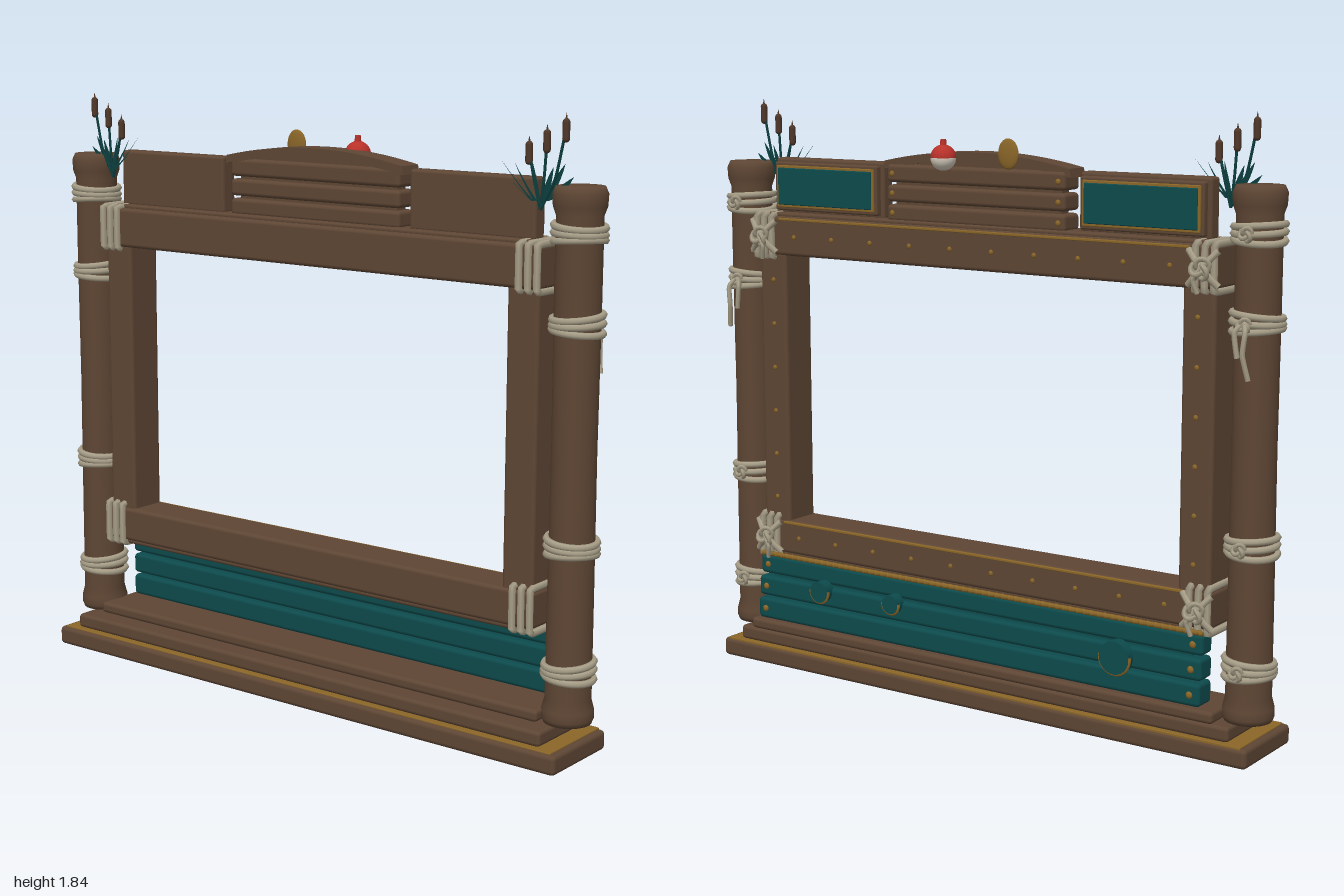
import * as THREE from 'three';
import { RoundedBoxGeometry } from 'three/addons/geometries/RoundedBoxGeometry.js';

const mat = (name, color, extra = {}) => {
  const m = new THREE.MeshStandardMaterial({ color, ...extra });
  m.name = name;
  return m;
};

export function createModel() {
  const wood = mat('wood', 0x5e4634);
  const teal = mat('tealPaint', 0x0d4a4c);
  const rope = mat('rope', 0xa89f88);
  const brass = mat('brass', 0x8a6628);
  const red = mat('red', 0xb8322a);
  const white = mat('cream', 0xd8d0c0);
  const cattail = mat('cattail', 0x50382a);
  const leaf = mat('leaf', 0x0c3f3e, { side: THREE.DoubleSide });
  const model = new THREE.Group();
  model.name = 'boardwalkFrame';

  const add = (name, geo, m, parent = model) => {
    const mesh = new THREE.Mesh(geo, m);
    mesh.name = name;
    parent.add(mesh);
    return mesh;
  };
  // Board given by its extents, with softly rounded edges
  const board = (name, x0, x1, y0, y1, z0, z1, m = wood, r = 0.01) => {
    const w = x1 - x0, h = y1 - y0, d = z1 - z0;
    const geo = new RoundedBoxGeometry(w, h, d, 2, Math.min(r, w / 2.2, h / 2.2, d / 2.2));
    const b = add(name, geo, m);
    b.position.set((x0 + x1) / 2, (y0 + y1) / 2, (z0 + z1) / 2);
    return b;
  };
  const tube = (name, pts, r, m, closed = false, parent = model) =>
    add(name, new THREE.TubeGeometry(new THREE.CatmullRomCurve3(
      pts.map(p => new THREE.Vector3(...p)), closed, 'catmullrom', 0.3), closed ? 40 : 20, r, 6, closed), m, parent);
  const rivet = (x, y, z, r = 0.008) => {
    const s = add('rivet', new THREE.SphereGeometry(r, 8, 6), brass);
    s.position.set(x, y, z);
    s.scale.z = 0.6;
  };

  // Stepped base with brass inlay
  board('baseLower', -0.975, 0.975, 0, 0.06, -0.135, 0.15, wood, 0.014);
  board('baseInlay', -0.955, 0.955, 0.05, 0.064, -0.13, 0.138, brass, 0.003);
  board('baseMiddle', -0.91, 0.91, 0.064, 0.11, -0.12, 0.125, wood, 0.012);
  board('baseUpper', -0.86, 0.86, 0.11, 0.146, -0.125, 0.065, wood, 0.012);

  // Picture frame beams
  board('topBeam', -0.83, 0.83, 1.35, 1.475, -0.09, 0.05, wood, 0.012);
  board('bottomBeam', -0.83, 0.83, 0.375, 0.485, -0.09, 0.05, wood, 0.012);
  board('bottomBeamLip', -0.81, 0.81, 0.362, 0.38, -0.08, 0.04);
  board('topBeamLip', -0.8, 0.8, 1.47, 1.486, -0.08, 0.03);

  // Brass trim and rivets along the back of the frame
  board('trimTop', -0.74, 0.74, 1.462, 1.47, -0.094, -0.08, brass, 0.002);
  board('trimBottom', -0.74, 0.74, 0.474, 0.482, -0.094, -0.08, brass, 0.002);
  for (let i = 0; i < 10; i++) {
    const x = -0.68 + i * 1.36 / 9;
    rivet(x, 1.41, -0.09);
    rivet(x, 0.43, -0.09);
  }

  // Teal slats with braided brass edge
  [[0.155, 0.224, -0.132], [0.231, 0.296, -0.126], [0.304, 0.366, -0.116]].forEach(([y0, y1, z], i) => {
    board('slat' + (i + 1), -0.822, 0.822, y0, y1, z, -0.055, teal, 0.012);
    for (const x of [-0.79, 0.79]) rivet(x, (y0 + y1) / 2, z, 0.011);
  });
  board('slatBacking', -0.78, 0.78, 0.15, 0.36, -0.1, -0.08, teal, 0.004);
  tube('braidCore', [[-0.815, 0.371, -0.11], [0, 0.371, -0.11], [0.815, 0.371, -0.11]], 0.008, brass);
  for (let i = 0; i < 68; i++) {
    const bead = add('braidBead', new THREE.SphereGeometry(0.011, 6, 4), brass);
    bead.position.set(-0.81 + i * 1.62 / 67, 0.371, -0.11);
    bead.rotation.z = 0.6;
    bead.scale.y = 0.7;
  }

  // Round bosses with brass crescents on the slats
  for (const [x, y, r] of [[0.55, 0.285, 0.034], [0.265, 0.29, 0.03], [-0.55, 0.262, 0.05]]) {
    const disc = add('boss', new THREE.CylinderGeometry(r, r, 0.035, 24), teal);
    disc.rotation.x = Math.PI / 2;
    disc.position.set(x, y, -0.135);
    const crescent = add('bossCrescent', new THREE.TorusGeometry(r, 0.006, 6, 20, Math.PI * 1.1), brass);
    crescent.rotation.z = Math.PI * 0.95;
    crescent.position.set(x, y, -0.147);
  }

  // Central sign planks under an arched cap
  [[1.48, 1.532], [1.54, 1.592], [1.6, 1.655]].forEach(([y0, y1], i) =>
    board('signPlank' + (i + 1), -0.322, 0.322, y0, y1, -0.075, 0.01, wood, 0.012));
  board('signBacking', -0.3, 0.3, 1.48, 1.65, -0.06, -0.01);
  const cap = new THREE.Shape();
  cap.moveTo(-0.338, 1.638);
  cap.quadraticCurveTo(0, 1.705, 0.338, 1.638);
  cap.lineTo(0.333, 1.664);
  cap.quadraticCurveTo(0, 1.736, -0.333, 1.664);
  const arch = add('signArch', new THREE.ExtrudeGeometry(cap, { depth: 0.08, bevelEnabled: false, curveSegments: 16 }), wood);
  arch.position.z = -0.068;
  const fill = new THREE.Shape();
  fill.moveTo(-0.31, 1.635);
  fill.lineTo(0.31, 1.635);
  fill.quadraticCurveTo(0, 1.72, -0.31, 1.645);
  add('archFill', new THREE.ExtrudeGeometry(fill, { depth: 0.05, bevelEnabled: false }), wood).position.z = -0.055;
  for (const x of [-0.3, 0.3]) for (const y of [1.506, 1.566, 1.626]) rivet(x, y, -0.075, 0.009);

  // Fishing float and brass spoon on the sign
  const bobber = new THREE.Group();
  bobber.name = 'float';
  bobber.position.set(0.1, 1.682, -0.085);
  add('floatTop', new THREE.SphereGeometry(0.039, 20, 10, 0, Math.PI * 2, 0, Math.PI / 2), red, bobber);
  add('floatBottom', new THREE.SphereGeometry(0.039, 20, 10, 0, Math.PI * 2, Math.PI / 2, Math.PI / 2), white, bobber);
  add('floatPin', new THREE.CylinderGeometry(0.009, 0.011, 0.022, 10), red, bobber).position.y = 0.044;
  model.add(bobber);
  const spoon = add('spoon', new THREE.SphereGeometry(0.038, 18, 12), brass);
  spoon.scale.set(0.95, 1.2, 0.25);
  spoon.position.set(-0.13, 1.7, -0.08);

  const postProfile = [[0, 0.11], [0.07, 0.11], [0.076, 0.125], [0.075, 0.15], [0.067, 0.18], [0.066, 0.5],
    [0.064, 0.9], [0.066, 1.3], [0.066, 1.56], [0.075, 1.585], [0.077, 1.62], [0.068, 1.64], [0, 1.642]];
  for (const s of [-1, 1]) {
    const px = 0.918 * s, pz = -0.012;
    // Side beam with rivets
    board('sideBeam', Math.min(0.72 * s, 0.825 * s), Math.max(0.72 * s, 0.825 * s), 0.47, 1.36, -0.085, 0.042, wood, 0.012);
    for (let i = 0; i < 6; i++) rivet(0.77 * s, 0.56 + i * 0.142, -0.086);

    // Round post with rope bands
    const post = add('post', new THREE.LatheGeometry(postProfile.map(p => new THREE.Vector2(...p)), 24), wood);
    post.position.set(px, 0, pz);
    [1.51, 1.26, 0.625, 0.265].forEach((y, b) => {
      for (let k = -1; k <= 1; k++) {
        const ring = add('postRope', new THREE.TorusGeometry(0.072, 0.0105, 6, 28), rope);
        ring.position.set(px, y + k * 0.02, pz);
        ring.rotation.set(Math.PI / 2 + 0.05 * (k + (b % 2) - 0.5), 0.08 * (b % 2 ? 1 : -1) * (k || 0.5), 0);
      }
      const knot = add('postKnot', new THREE.TorusKnotGeometry(0.013, 0.007, 32, 5), rope);
      knot.position.set(px, y, pz - 0.082);
    });
    // Hanging rope tail
    tube('ropeTail', [[px, 1.27, -0.09], [px + 0.015 * s, 1.24, -0.115], [px + 0.01 * s, 1.18, -0.118], [px + 0.022 * s, 1.11, -0.105]], 0.008, rope);
    tube('ropeTail', [[px, 1.27, -0.09], [px - 0.02 * s, 1.24, -0.11], [px - 0.012 * s, 1.17, -0.108]], 0.008, rope);

    // Rope lashings at the frame corners
    for (const y of [1.411, 0.431]) {
      for (const x of [0.825, 0.795, 0.765]) {
        const h = 0.066, f = 0.053, k = -0.097;
        tube('lashing', [[x * s, y - h, f - 0.01], [x * s, y - h + 0.01, f], [x * s, y + h - 0.01, f], [x * s, y + h, f - 0.01],
          [x * s, y + h, k + 0.01], [x * s, y + h - 0.01, k], [x * s, y - h + 0.01, k], [x * s, y - h, k + 0.01]], 0.0115, rope, true);
      }
      for (const d of [-1, 1])
        tube('crossLashing', [[0.84 * s, y - 0.05 * d, -0.1], [0.795 * s, y, -0.12], [0.745 * s, y + 0.05 * d, -0.1]], 0.01, rope);
      const knot = add('lashingKnot', new THREE.TorusKnotGeometry(0.02, 0.008, 40, 5), rope);
      knot.position.set(0.795 * s, y, -0.122);
      tube('lashingTail', [[0.795 * s, y, -0.125], [0.775 * s, y - 0.03, -0.13], [0.785 * s, y - 0.07, -0.12]], 0.007, rope);
    }

    // Header panel, layered towards a teal inset at the back
    const panel = (name, inset, z0, z1, m, r) => {
      const a = (0.355 + inset) * s, b = (0.785 - inset) * s;
      board(name, Math.min(a, b), Math.max(a, b), 1.48 + inset, 1.657 - inset, z0, z1, m, r);
    };
    panel('headerPanel', 0, -0.045, 0.005, wood, 0.01);
    panel('headerStep', 0.012, -0.065, -0.03, wood, 0.006);
    panel('headerBrassEdge', 0.022, -0.07, -0.06, brass, 0.003);
    panel('headerInset', 0.03, -0.074, -0.065, teal, 0.003);

    // Cattails
    for (const [x, top] of [[0.887, 1.828], [0.827, 1.796], [0.77, 1.762]]) {
      tube('cattailStem', [[0.81 * s, 1.57, 0.02], [(x * 0.6 + 0.324) * s, 1.66, 0.02], [x * s, top - 0.03, 0.02]], 0.004, leaf);
      add('cattailHead', new THREE.CapsuleGeometry(0.0105, 0.045, 4, 10), cattail).position.set(x * s, top - 0.038, 0.02);
      add('cattailTip', new THREE.ConeGeometry(0.004, 0.02, 6), cattail).position.set(x * s, top, 0.02);
    }
    // Pointed reed leaves fanning from one root
    [[0.91, 1.665], [0.885, 1.7], [0.85, 1.69], [0.785, 1.7], [0.73, 1.695], [0.685, 1.705], [0.72, 1.65]].forEach(([x, y], i) => {
      const bx = 0.81 + (x - 0.81) * 0.15, by = 1.595, mx = (bx + x) / 2, my = (by + y) / 2 - 0.008;
      const blade = new THREE.Shape();
      blade.moveTo((bx - 0.006) * s, by);
      blade.quadraticCurveTo((mx - 0.012) * s, my + 0.012, x * s, y);
      blade.quadraticCurveTo((mx + 0.012) * s, my - 0.012, (bx + 0.006) * s, by);
      add('reedLeaf', new THREE.ShapeGeometry(blade, 6), leaf).position.z = 0.012 + i * 0.004;
    });
  }
  return model;
}
